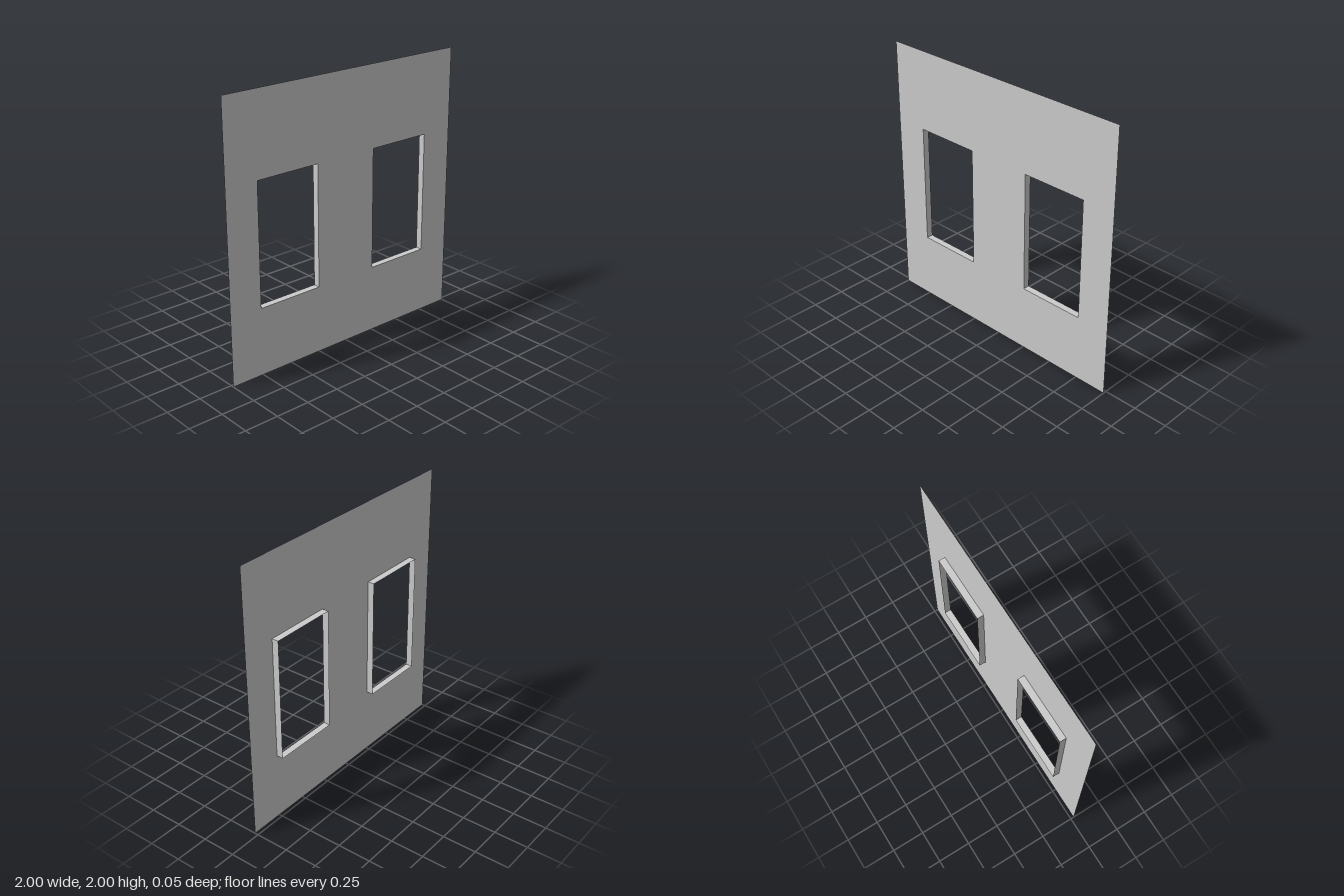
import * as THREE from 'three';

const SIZE = 2, DEPTH = 0.05;
const WIN = { w: 0.5, h: 0.9, x: 0.5, y: 0.95 };

const material = new THREE.MeshStandardMaterial({ color: 0xcccccc, side: THREE.DoubleSide, flatShading: true });

function addMesh(parent, name, geometry) {
  const mesh = new THREE.Mesh(geometry, material);
  mesh.name = name;
  parent.add(mesh);
  return mesh;
}

// Thin wall sheet with two rectangular openings
function wallGeometry() {
  const rect = (path, x0, y0, x1, y1) =>
    path.moveTo(x0, y0).lineTo(x1, y0).lineTo(x1, y1).lineTo(x0, y1).closePath();
  const shape = rect(new THREE.Shape(), -SIZE / 2, 0, SIZE / 2, SIZE);
  for (const s of [-1, 1]) {
    const cx = s * WIN.x;
    shape.holes.push(rect(new THREE.Path(),
      cx - WIN.w / 2, WIN.y - WIN.h / 2, cx + WIN.w / 2, WIN.y + WIN.h / 2));
  }
  return new THREE.ShapeGeometry(shape);
}

// Four thin faces lining an opening, running back from the wall
function windowReveal(name) {
  const group = new THREE.Group();
  group.name = name;
  for (const s of [-1, 1]) {
    const level = new THREE.PlaneGeometry(WIN.w, DEPTH).rotateX(s * Math.PI / 2);
    addMesh(group, s < 0 ? 'sill' : 'lintel', level).position.y = s * WIN.h / 2;
    const upright = new THREE.PlaneGeometry(DEPTH, WIN.h).rotateY(-s * Math.PI / 2);
    addMesh(group, s < 0 ? 'rightJamb' : 'leftJamb', upright).position.x = s * WIN.w / 2;
  }
  return group;
}

export function createModel() {
  const model = new THREE.Group();
  model.name = 'windowWall';

  addMesh(model, 'wall', wallGeometry()).position.z = DEPTH / 2;

  for (const s of [-1, 1]) {
    const reveal = windowReveal(s < 0 ? 'rightWindowReveal' : 'leftWindowReveal');
    reveal.position.set(s * WIN.x, WIN.y, 0);
    model.add(reveal);
  }
  return model;
}
